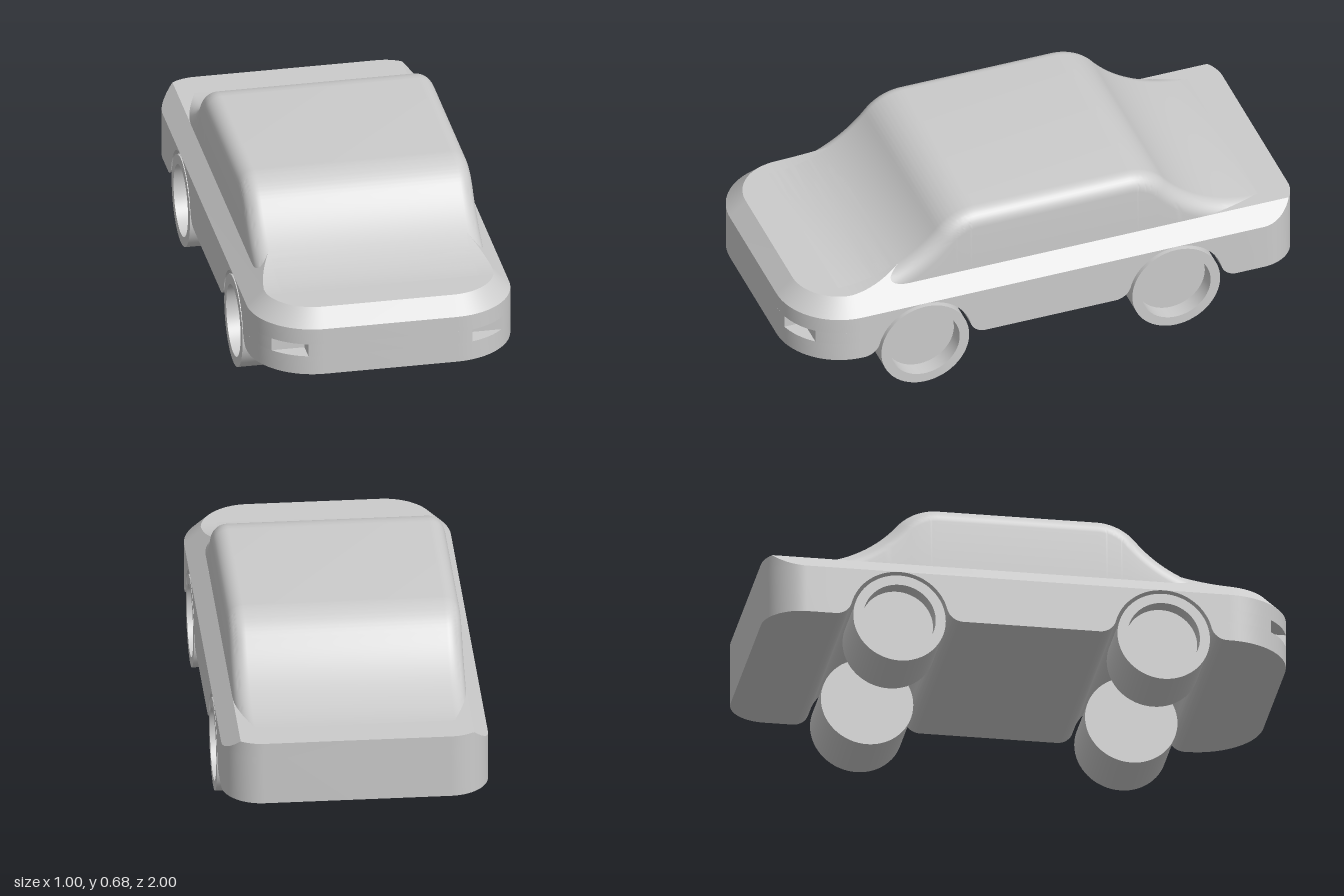
import * as THREE from 'three';
import { toCreasedNormals } from 'three/addons/utils/BufferGeometryUtils.js';

const BOTTOM = 0.1775, BELT = 0.365, DECK = 0.4275, ROOF = 0.677;
const HALF = 0.5, CH = 0.0625, INNER = HALF - CH;
const FRONT_R = 0.25, REAR_R = 0.15;

export function createModel() {
  const car = new THREE.Group();
  car.name = 'car';
  const material = new THREE.MeshStandardMaterial({ color: 0xcccccc });

  const add = (name, geometry, crease = 0.5) => {
    const mesh = new THREE.Mesh(toCreasedNormals(geometry, crease), material);
    mesh.name = name;
    car.add(mesh);
    return mesh;
  };

  // Skin over rows of [x, y, z] points
  const loft = (rows) => {
    const n = rows[0].length, index = [];
    for (let r = 0; r < rows.length - 1; r++) {
      for (let i = 0; i < n - 1; i++) {
        const a = r * n + i, b = a + 1, c = b + n, d = a + n;
        index.push(a, b, c, a, c, d);
      }
    }
    const g = new THREE.BufferGeometry();
    g.setAttribute('position', new THREE.Float32BufferAttribute(rows.flat(2), 3));
    g.setIndex(index);
    return g;
  };

  // Points [x, z, nx, nz] along a plan arc
  const arc = (cx, cz, r, a0, a1, n = 20) => Array.from({ length: n + 1 }, (_, i) => {
    const a = a0 + (a1 - a0) * i / n;
    return [cx + r * Math.cos(a), cz + r * Math.sin(a), Math.cos(a), Math.sin(a)];
  });

  // Upright slab from half of a plan outline, mirrored in x
  const slab = (name, half, y0, y1) => {
    const mirrored = half.map(([x, z]) => [-x, z]).reverse();
    const shape = new THREE.Shape([...half, ...mirrored].map(([x, z]) => new THREE.Vector2(x, -z)));
    const g = new THREE.ExtrudeGeometry(shape, { depth: y1 - y0, bevelEnabled: false });
    g.rotateX(-Math.PI / 2).translate(0, y0, 0);
    add(name, g);
  };

  // Middle hull with wheel arches running right across
  const archR = 0.187, fillet = 0.0625;
  const phi = Math.asin(fillet / (archR + fillet));
  const reach = (archR + fillet) * Math.cos(phi);
  const side = new THREE.Shape();
  side.moveTo(-0.75, BELT);
  side.lineTo(-0.75, BOTTOM);
  for (const c of [-0.5, 0.5]) {
    side.absarc(c - reach, BOTTOM + fillet, fillet, -Math.PI / 2, -phi, false);
    side.absarc(c, BOTTOM, archR, Math.PI - phi, phi, true);
    side.absarc(c + reach, BOTTOM + fillet, fillet, Math.PI + phi, Math.PI * 1.5, false);
  }
  side.lineTo(0.75, BOTTOM);
  side.lineTo(0.75, BELT);
  const hull = new THREE.ExtrudeGeometry(side, { depth: 2 * HALF, bevelEnabled: false, curveSegments: 32 });
  hull.rotateY(-Math.PI / 2).translate(HALF, 0, 0);
  add('hull', hull);

  // Nose in three layers; the middle one has the headlight recesses
  const cx = HALF - FRONT_R, cz = 1 - FRONT_R;
  const corner = [...arc(cx, cz, FRONT_R, Math.PI / 2, 0), [HALF, 0.74]];
  const lampIn = Math.acos(0.25), lampOut = Math.acos(0.75);
  const lampFloor = cz + FRONT_R * Math.sin(lampOut);
  const notched = [
    ...arc(cx, cz, FRONT_R, Math.PI / 2, lampIn, 6),
    [cx + FRONT_R * 0.25, lampFloor],
    ...arc(cx, cz, FRONT_R, lampOut, 0, 12),
    [HALF, 0.74],
  ];
  slab('noseLower', corner, BOTTOM, 0.2525);
  slab('headlightBand', notched, 0.2525, 0.3025);
  slab('noseUpper', corner, 0.3025, BELT);

  // Tail
  const tailArc = arc(HALF - REAR_R, REAR_R - 1, REAR_R, 0, -Math.PI / 2);
  slab('tail', [[HALF, -0.74], ...tailArc], BOTTOM, BELT);

  // Shoulder: chamfer around the nose and along both sides, upright at the tail
  const halfOutline = [...arc(cx, cz, FRONT_R, Math.PI / 2, 0), ...tailArc];
  const outline = [...halfOutline, ...halfOutline.map(([x, z, nx, nz]) => [-x, z, -nx, nz]).reverse()];
  outline.push(outline[0]);
  add('shoulder', loft([
    outline.map(([x, z]) => [x, BELT, z]),
    outline.map(([x, z]) => [x, z < 0 ? Math.min(DECK, BELT + HALF - Math.abs(x)) : BELT, z]),
    outline.map(([x, z, nx, nz]) => z < 0
      ? [THREE.MathUtils.clamp(x, -INNER, INNER), DECK, z]
      : [x - CH * nx, DECK, z - CH * nz]),
    outline.map(() => [0, DECK, 0]),
  ]), 0.4);

  // Cabin profile from deck to roof: hollow arc, then round arc
  const slope = (deckZ, roofZ) => {
    const rise = ROOF - DECK, run = Math.abs(deckZ - roofZ), s = Math.sign(deckZ);
    const angle = 2 * Math.atan(rise / run), round = 0.2, hollow = run / Math.sin(angle) - round;
    const pts = [], n = 24;
    for (let i = 0; i <= n; i++) {
      const t = angle * i / n;
      pts.push({ z: deckZ - s * hollow * Math.sin(t), y: DECK + hollow * (1 - Math.cos(t)), ny: Math.cos(t), nz: s * Math.sin(t) });
    }
    for (let i = n - 1; i >= 0; i--) {
      const t = angle * i / n;
      pts.push({ z: roofZ + s * round * Math.sin(t), y: ROOF - round * (1 - Math.cos(t)), ny: Math.cos(t), nz: s * Math.sin(t) });
    }
    return pts;
  };
  const front = slope(0.8, 0.26);
  const profile = [...front, ...slope(-0.87, -0.34).reverse()];

  // Cabin with rounded side edges
  const edge = 0.0625, steps = 10;
  add('cabin', loft(profile.map(({ z, y, ny, nz }) => {
    const half = [];
    for (let i = 0; i <= steps; i++) {
      const a = Math.PI / 2 * i / steps, drop = edge * (1 - Math.cos(a));
      half.push([INNER - edge + edge * Math.sin(a), y - drop * ny, z - drop * nz]);
    }
    const [x, wy, wz] = half[steps];
    half.push([x, Math.min(wy, 0.4), wz]);
    return [...half.map(([px, py, pz]) => [-px, py, pz]).reverse(), ...half];
  })), 0.6);

  // Rise of the hood, its sides carrying on the chamfer
  const hood = front.filter((p) => p.z > 0.48).map(({ z, y }) => {
    const rise = Math.min(y - DECK, CH);
    const w = z > cz ? cx + Math.sqrt((FRONT_R - CH) ** 2 - (z - cz) ** 2) : INNER;
    return [[-w, DECK, z], [rise - w, DECK + rise, z], [w - rise, DECK + rise, z], [w, DECK, z]];
  });
  add('hoodRise', loft(hood), 0.4);

  // Wheels, dished on the outer side
  const wheelR = 0.175, dishR = 0.137, width = 0.25;
  const section = [[0, 0], [wheelR, 0], [wheelR, width], [dishR, width], [dishR, width - 0.0625], [0, width - 0.0625]]
    .map(([r, h]) => new THREE.Vector2(r, h));
  for (const s of [1, -1]) {
    for (const z of [0.5, -0.5]) {
      const wheel = add((z > 0 ? 'front' : 'rear') + (s > 0 ? 'Left' : 'Right') + 'Wheel',
        new THREE.LatheGeometry(section, 64));
      wheel.rotation.z = -s * Math.PI / 2;
      wheel.position.set(s * (HALF - width), wheelR, z);
    }
  }
  return car;
}
